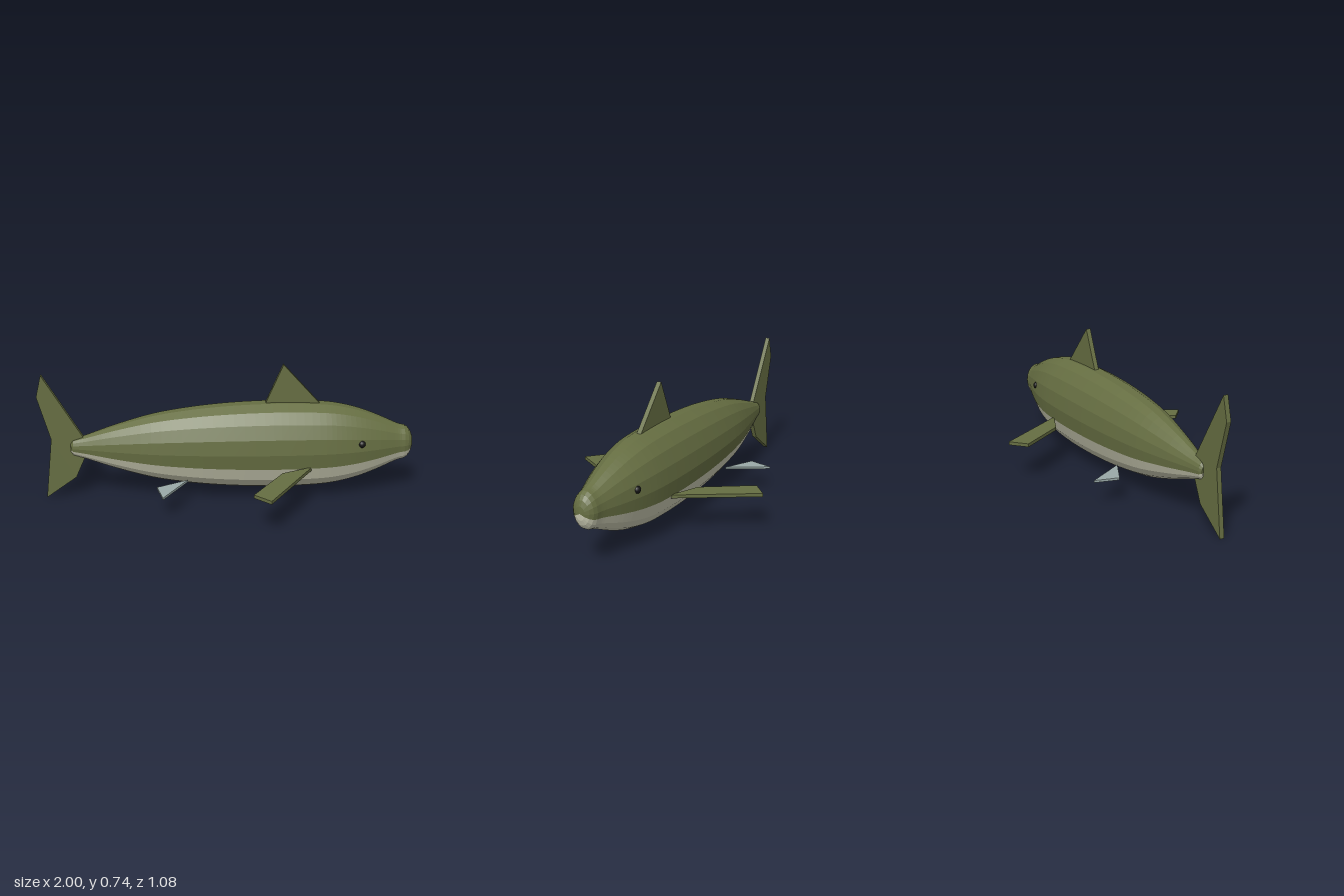
import * as THREE from 'three';

const mat = (color) => new THREE.MeshStandardMaterial({ color, flatShading: true });
const rad = THREE.MathUtils.degToRad;
const MID_Y = 0.29;

export function createModel() {
  const group = new THREE.Group();
  const olive = mat(0x666e42), pale = mat(0xc8c8b0), grey = mat(0x9aaaa8);
  const black = new THREE.MeshStandardMaterial({ color: 0x151515 });

  const add = (name, geometry, material) => {
    const mesh = new THREE.Mesh(geometry, material);
    mesh.name = name;
    group.add(mesh);
    return mesh;
  };

  // Body profile as (radius, x): smooth flank between two rounded ends
  const v = (r, x) => new THREE.Vector2(r, x);
  const flank = new THREE.SplineCurve([
    v(0.053, -0.8), v(0.069, -0.75), v(0.122, -0.6), v(0.18, -0.4), v(0.214, -0.2),
    v(0.234, 0), v(0.243, 0.2), v(0.243, 0.35), v(0.236, 0.5), v(0.222, 0.6),
    v(0.196, 0.7), v(0.158, 0.8), v(0.112, 0.9), v(0.101, 0.93),
  ]).getPoints(48);
  const profile = [
    v(0, -0.838), v(0.03, -0.835), v(0.046, -0.822), ...flank,
    v(0.097, 0.95), v(0.085, 0.97), v(0.063, 0.986), v(0.035, 0.996), v(0, 1),
  ];

  // One longitudinal shell of the 18-sided oval body
  const shell = (name, startDeg, sides, material) => {
    const g = new THREE.LatheGeometry(profile, sides, rad(startDeg), rad(sides * 20));
    g.rotateZ(-Math.PI / 2);
    g.scale(1, 1, 0.69);
    add(name, g, material).position.y = MID_Y;
  };
  shell('back', 160, 11, olive);
  shell('belly', 20, 7, pale);

  // Flat plate cut from an outline, centred on its thickness
  const plate = (outline, thickness) => {
    const shape = new THREE.Shape(outline.map(([a, b]) => new THREE.Vector2(a, b)));
    const g = new THREE.ExtrudeGeometry(shape, { depth: thickness, bevelEnabled: false });
    return g.translate(0, 0, -thickness / 2);
  };

  // Upright fins
  add('tailFin', plate([
    [-0.765, 0.345], [-0.97, 0.7], [-1, 0.58], [-0.937, 0.34],
    [-0.98, 0], [-0.815, 0.118], [-0.76, 0.24],
  ], 0.025), olive);
  add('dorsalFin', plate([[0.19, 0.5], [0.5, 0.51], [0.293, 0.74]], 0.025), olive);

  // Level fins, outlined as (x, distance from the centre line), on both sides
  const pectoral = [[0.44, 0.15], [0.195, 0.54], [0.112, 0.465], [0.28, 0.215], [0.42, 0.155]];
  const pelvic = [[-0.215, 0.115], [-0.345, 0.327], [-0.377, 0.197]];
  for (const [side, label] of [[1, 'right'], [-1, 'left']]) {
    const level = (name, outline, y, thickness, material) => {
      const g = plate(outline.map(([x, z]) => [x, z * side]), thickness).rotateX(Math.PI / 2);
      add(name, g, material).position.y = y;
    };
    const tag = side === 1 ? 'front' : 'rear';
    level(tag + 'SidePectoralFin', pectoral, 0.204, 0.018, olive);
    level(tag + 'SidePelvicFin', pelvic, 0.131, 0.012, grey);

    // Eye
    const eye = add(tag + 'SideEye', new THREE.SphereGeometry(0.02, 14, 10), black);
    eye.position.set(0.705, 0.33, 0.122 * side);
  }
  return group;
}
